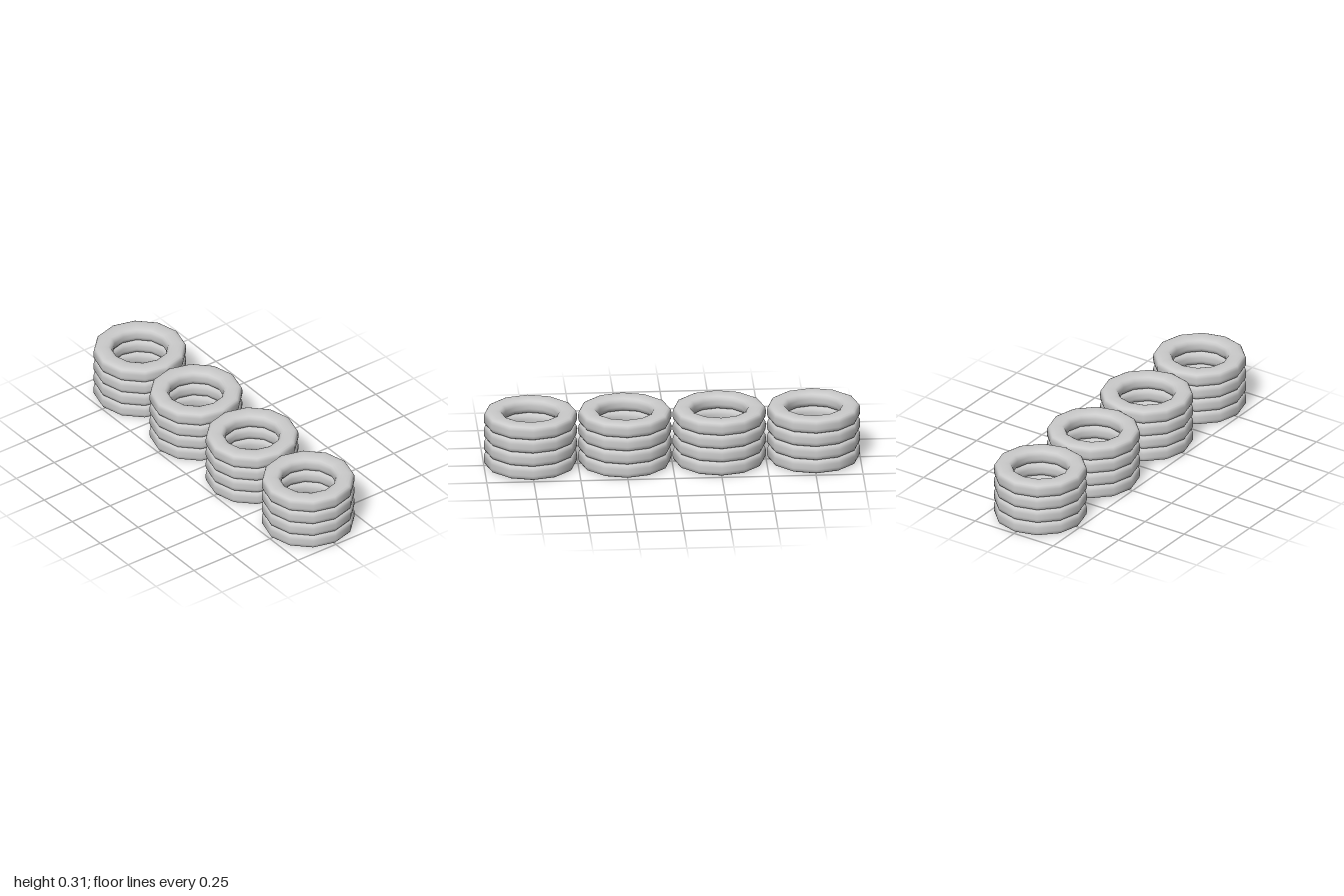
import * as THREE from 'three';

const STACKS = 4, TYRES = 4, SIDES = 12;
const HALF = 0.041;      // half the height of one tyre
const PITCH = 0.0758;    // tyres sink slightly into each other
const SPACING = 0.5017;  // distance between stack centres

// Closed tyre cross-section, revolved with few sides but smooth normals
function tyreGeometry() {
  const upper = [
    [0.2475, 0.012], [0.2455, 0.024], [0.24, 0.033], [0.229, 0.0385], [0.212, HALF],
    [0.19, HALF], [0.168, 0.039], [0.156, 0.033], [0.149, 0.022], [0.146, 0.01],
  ];
  const lower = upper.map(([r, y]) => [r, -y]).reverse();
  const ring = [...upper, ...lower];
  // start and end in the middle of the flat underside
  const start = ring.findIndex(([r, y]) => r === 0.19 && y < 0);
  const points = [];
  for (let i = 0; i <= ring.length; i++) {
    points.push(new THREE.Vector2(...ring[(start + i) % ring.length]));
  }
  return new THREE.LatheGeometry(points, SIDES);
}

export function createModel() {
  const model = new THREE.Group();
  model.name = 'tyreBarrier';
  const material = new THREE.MeshStandardMaterial({ color: 0xcccccc });
  const geometry = tyreGeometry();

  // Row of identical stacks
  for (let s = 0; s < STACKS; s++) {
    const stack = new THREE.Group();
    stack.name = `tyreStack${s + 1}`;
    stack.position.x = (s - (STACKS - 1) / 2) * SPACING;
    for (let t = 0; t < TYRES; t++) {
      const tyre = new THREE.Mesh(geometry, material);
      tyre.name = `tyre${t + 1}`;
      tyre.position.y = HALF + t * PITCH;
      stack.add(tyre);
    }
    model.add(stack);
  }
  return model;
}
